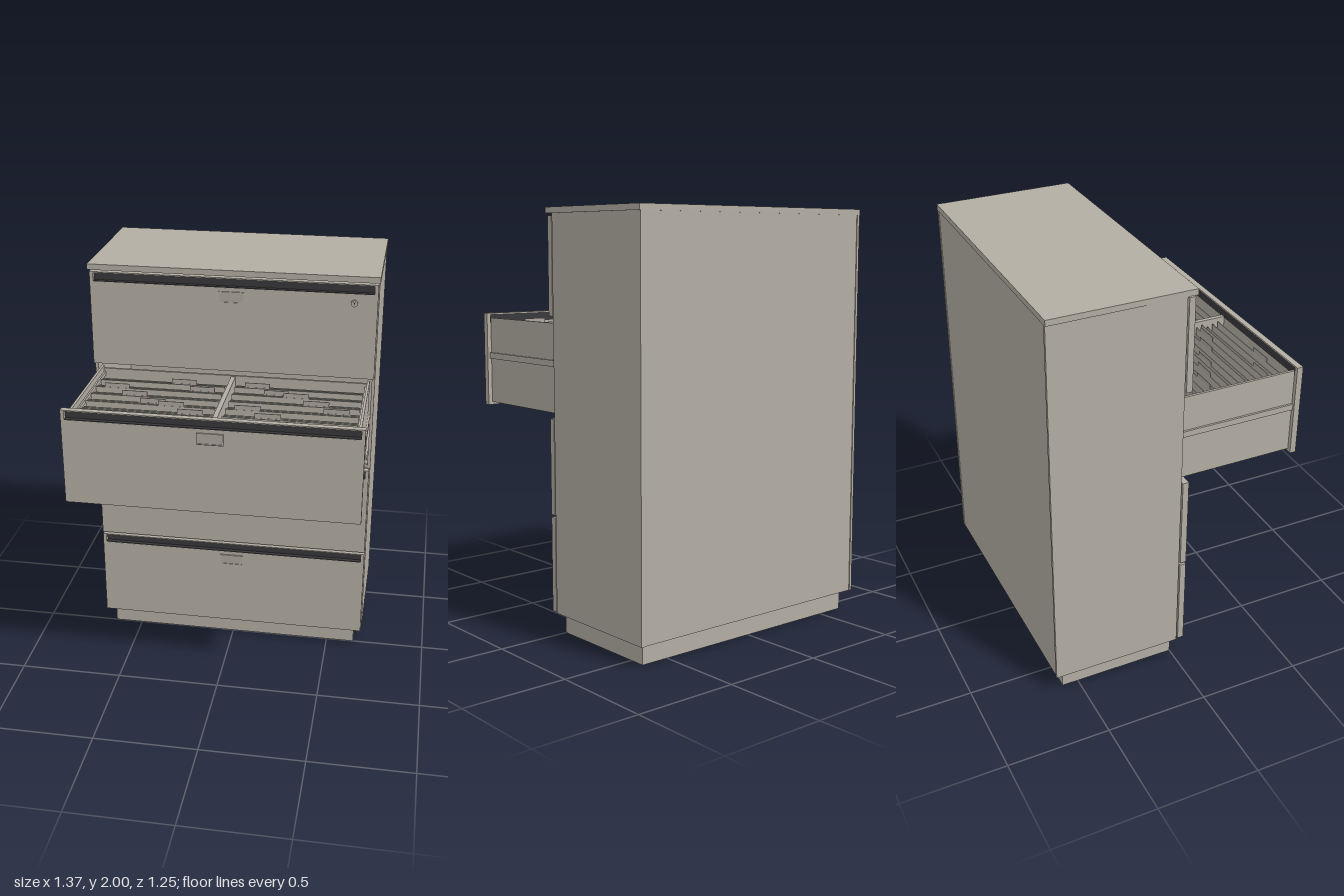
import * as THREE from 'three';

const mat = (name, color) => {
  const m = new THREE.MeshStandardMaterial({ color });
  m.name = name;
  return m;
};

export function createModel() {
  const paint = mat('putty paint', 0xb3aea3);
  const dark = mat('dark recess', 0x38373a);
  const label = mat('label card', 0xaca69d);
  const cabinet = new THREE.Group();
  cabinet.name = 'filingCabinet';

  // Box given by its limits on each axis
  const box = (parent, name, m, x0, x1, y0, y1, z0, z1) => {
    const mesh = new THREE.Mesh(new THREE.BoxGeometry(x1 - x0, y1 - y0, z1 - z0), m);
    mesh.position.set((x0 + x1) / 2, (y0 + y1) / 2, (z0 + z1) / 2);
    mesh.name = name;
    parent.add(mesh);
    return mesh;
  };
  const group = (parent, name) => {
    const g = new THREE.Group();
    g.name = name;
    parent.add(g);
    return g;
  };

  // Carcass: plinth, hollow shell and overhanging top
  box(cabinet, 'plinth', paint, -0.64, 0.64, 0, 0.1, -0.58, 0);
  box(cabinet, 'topPanel', paint, -0.685, 0.685, 1.972, 2, -0.625, 0.062);
  const shell = group(cabinet, 'shell');
  box(shell, 'backPanel', paint, -0.665, 0.665, 0.1, 1.972, -0.622, -0.605);
  box(shell, 'floorPanel', paint, -0.665, 0.665, 0.1, 0.115, -0.605, 0.014);
  for (const s of [-1, 1]) {
    const side = box(shell, 'sidePanel', paint, -0.0075, 0.0075, 0.1, 1.972, -0.625, 0.015);
    side.position.x = s * 0.6735;
  }

  // Drawer fronts: a panel with a dark finger channel along its top
  const bottoms = [0.102, 0.571, 1.038, 1.505];
  const height = 0.457;
  const makeFront = (parent, y, z) => {
    const front = group(parent, 'drawerFront');
    front.position.set(0, y, z);
    box(front, 'frontPanel', paint, -0.677, 0.677, 0, height - 0.047, 0, 0.03);
    box(front, 'topLip', paint, -0.677, 0.677, height - 0.006, height, 0, 0.03);
    box(front, 'channelBack', dark, -0.66, 0.66, height - 0.047, height - 0.006, 0, 0.008);
    box(front, 'channelFloor', dark, -0.66, 0.66, height - 0.047, height - 0.044, 0.008, 0.029);
    for (const s of [-1, 1]) {
      const cap = box(front, 'channelEnd', paint, -0.0085, 0.0085, height - 0.047, height - 0.006, 0, 0.03);
      cap.position.x = s * 0.6685;
    }
    // Label holder: card inside a raised frame
    const holder = group(front, 'labelHolder');
    box(holder, 'labelCard', label, -0.055, 0.055, 0.342, 0.388, 0.03, 0.033);
    for (const y0 of [0.337, 0.387]) box(holder, 'labelFrame', paint, -0.06, 0.06, y0, y0 + 0.005, 0.03, 0.036);
    for (const x0 of [-0.06, 0.055]) box(holder, 'labelFrame', paint, x0, x0 + 0.005, 0.342, 0.387, 0.03, 0.036);
  };
  bottoms.forEach((y, i) => {
    const open = i === 2;
    makeFront(cabinet, y, open ? 0.594 : 0.025);
    if (!open) box(cabinet, 'drawerBody', paint, -0.655, 0.655, y + 0.018, y + 0.43, -0.56, 0.025);
    if (i > 0) box(shell, 'crossRail', paint, -0.665, 0.665, y - 0.012, y + 0.008, -0.03, 0.014);
  });

  // Open drawer tray
  const tray = group(cabinet, 'openDrawer');
  box(tray, 'trayFloor', paint, -0.645, 0.645, 1.052, 1.062, -0.01, 0.594);
  box(tray, 'trayBack', paint, -0.645, 0.645, 1.062, 1.46, -0.01, 0.002);
  box(tray, 'trayDivider', paint, -0.011, 0.011, 1.062, 1.455, 0.002, 0.594);
  for (const s of [-1, 1]) {
    const place = (name, x, w, y0, y1) => {
      box(tray, name, paint, -w / 2, w / 2, y0, y1, -0.01, 0.594).position.x = s * x;
    };
    place('traySide', 0.65, 0.012, 1.052, 1.472);
    place('slideRail', 0.66, 0.012, 1.27, 1.3);
    place('hangingRail', 0.638, 0.008, 1.425, 1.445);
  }

  // Hanging folders in two rows, with staggered tabs on every second one
  const files = group(tray, 'hangingFolders');
  for (const s of [-1, 1]) {
    for (let i = 0; i < 18; i++) {
      const z = 0.04 + i * 0.0298 + (s > 0 ? -0.004 : 0.004);
      const top = 1.425 + 0.008 * ((i * 7) % 3);
      const x = s * 0.327;
      box(files, 'folder', paint, x - 0.304, x + 0.304, 1.075, top, z, z + 0.004);
      if (i % 2) {
        const tx = x - 0.2 + 0.1 * ((i * 3 + (s > 0 ? 2 : 0)) % 5);
        box(files, 'folderTab', label, tx - 0.06, tx + 0.06, top, top + 0.022, z, z + 0.003);
      }
    }
  }

  // Lock on the top drawer
  const lock = group(cabinet, 'lock');
  lock.position.set(0.57, 1.872, 0.055);
  const disc = (name, m, r, depth) => {
    const d = new THREE.Mesh(new THREE.CylinderGeometry(r, r, depth, 24), m);
    d.rotation.x = Math.PI / 2;
    d.position.z = depth / 2;
    d.name = name;
    lock.add(d);
  };
  disc('lockRing', paint, 0.016, 0.01);
  disc('lockBarrel', paint, 0.01, 0.013);
  box(lock, 'keySlot', dark, -0.002, 0.002, -0.006, 0.006, 0.013, 0.014);

  return cabinet;
}
